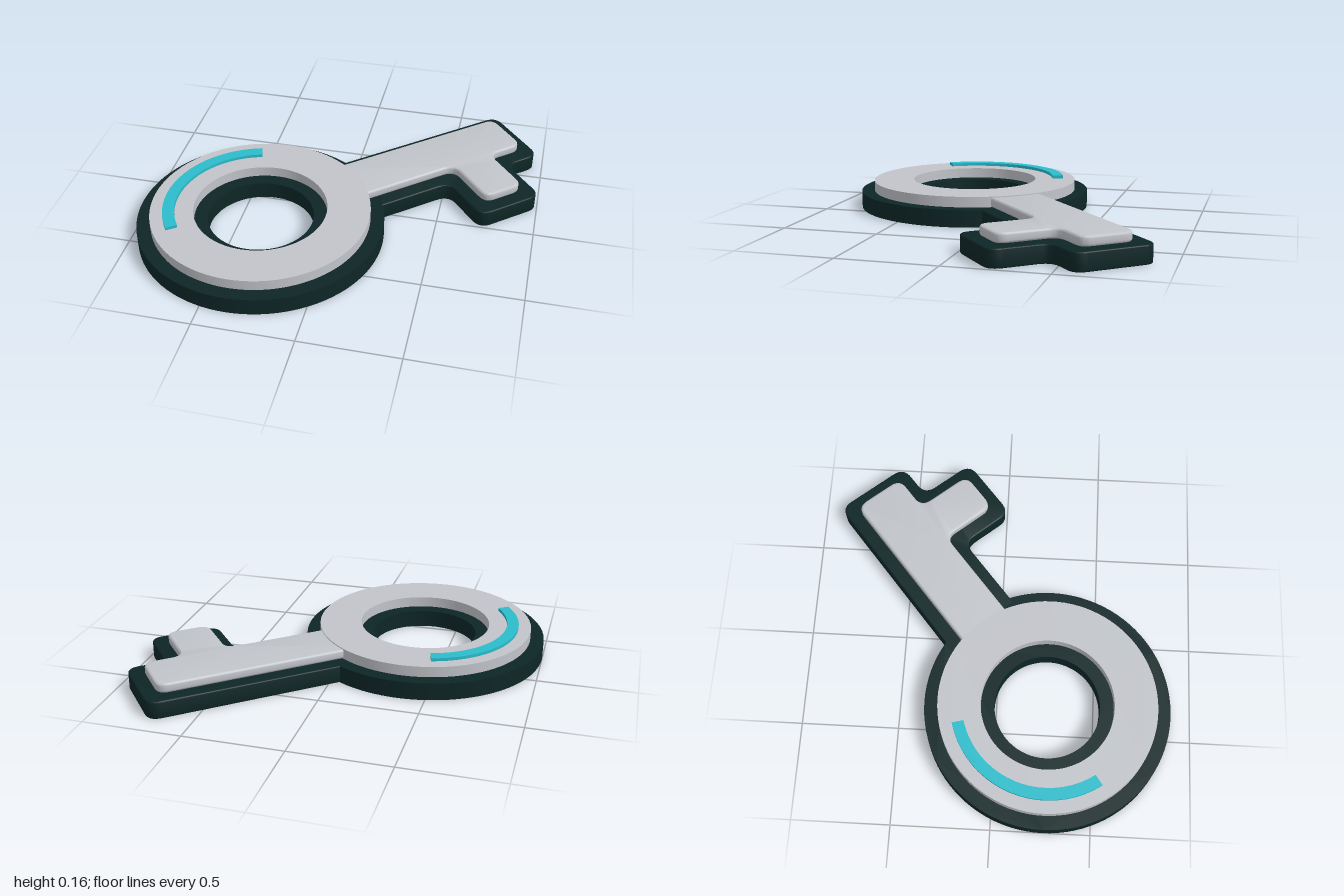
import * as THREE from 'three';
import { toCreasedNormals } from 'three/addons/utils/BufferGeometryUtils.js';

// Extrude a flat shape upwards between two heights, with an optional small bevel.
function slab(name, shape, y0, y1, material, bevel = 0) {
  const geometry = new THREE.ExtrudeGeometry(shape, {
    depth: y1 - y0 - 2 * bevel,
    curveSegments: shape.holes.length ? 48 : 10,
    bevelEnabled: bevel > 0,
    bevelSize: bevel,
    bevelThickness: bevel,
    bevelOffset: -bevel,
    bevelSegments: 3,
  });
  geometry.translate(0, 0, bevel);
  geometry.rotateX(-Math.PI / 2);
  const mesh = new THREE.Mesh(toCreasedNormals(geometry, 0.6), material);
  mesh.name = name;
  mesh.position.y = y0;
  return mesh;
}

function ringShape(outer, inner) {
  const shape = new THREE.Shape().absarc(0, 0, outer, 0, Math.PI * 2);
  shape.holes.push(new THREE.Path().absarc(0, 0, inner, 0, Math.PI * 2, true));
  return shape;
}

// Polygon with every corner after the first two rounded.
function roundedShape(points, radius) {
  const p = points.map(([x, y]) => new THREE.Vector2(x, y));
  const towards = (a, b) => b.clone().sub(a).setLength(radius).add(a);
  const shape = new THREE.Shape();
  shape.moveTo(p[0].x, p[0].y);
  shape.lineTo(p[1].x, p[1].y);
  for (let i = 2; i < p.length; i++) {
    const a = towards(p[i], p[i - 1]);
    const b = towards(p[i], p[(i + 1) % p.length]);
    shape.lineTo(a.x, a.y);
    shape.quadraticCurveTo(p[i].x, p[i].y, b.x, b.y);
  }
  shape.closePath();
  return shape;
}

// Key blade with one tooth, shrunk on all sides by the inset.
function bladeShape(inset, radius) {
  const half = 0.21 - inset, tip = 1.575 - inset, tooth = 0.515 - inset;
  const t0 = 1.0 + inset, t1 = 1.37 - inset, start = 0.47;
  return roundedShape([
    [start, half], [start, -half], [t0, -half], [t0, -tooth],
    [t1, -tooth], [t1, -half], [tip, -half], [tip, half],
  ], radius);
}

export function createModel() {
  const dark = new THREE.MeshStandardMaterial({ name: 'dark teal', color: 0x0e2626 });
  const silver = new THREE.MeshStandardMaterial({ name: 'silver', color: 0xc1c4c9 });
  const cyan = new THREE.MeshStandardMaterial({ name: 'cyan', color: 0x2bbccb });

  const key = new THREE.Group();
  key.name = 'key';
  key.position.set(-0.37, 0, 0.26);

  // Bow
  key.add(slab('bowBase', ringShape(0.63, 0.27), 0, 0.09, dark));
  key.add(slab('bowFace', ringShape(0.56, 0.34), 0.09, 0.145, silver));

  // Blade, turned to point back and to the side
  const blade = new THREE.Group();
  blade.name = 'blade';
  blade.rotation.y = THREE.MathUtils.degToRad(40);
  blade.add(slab('bladeBase', bladeShape(0, 0.07), 0, 0.09, dark, 0.006));
  blade.add(slab('bladeFace', bladeShape(0.07, 0.06), 0.09, 0.14, silver, 0.012));
  key.add(blade);

  // Curved highlight strip on the bow
  const from = THREE.MathUtils.degToRad(105), to = THREE.MathUtils.degToRad(215);
  const arc = new THREE.Shape()
    .absarc(0, 0, 0.495, from, to, false)
    .absarc(0, 0, 0.435, to, from, true);
  arc.closePath();
  const strip = slab('bowHighlight', arc, 0.145, 0.161, cyan);
  key.add(strip);

  const model = new THREE.Group();
  model.name = 'model';
  model.add(key);
  return model;
}
